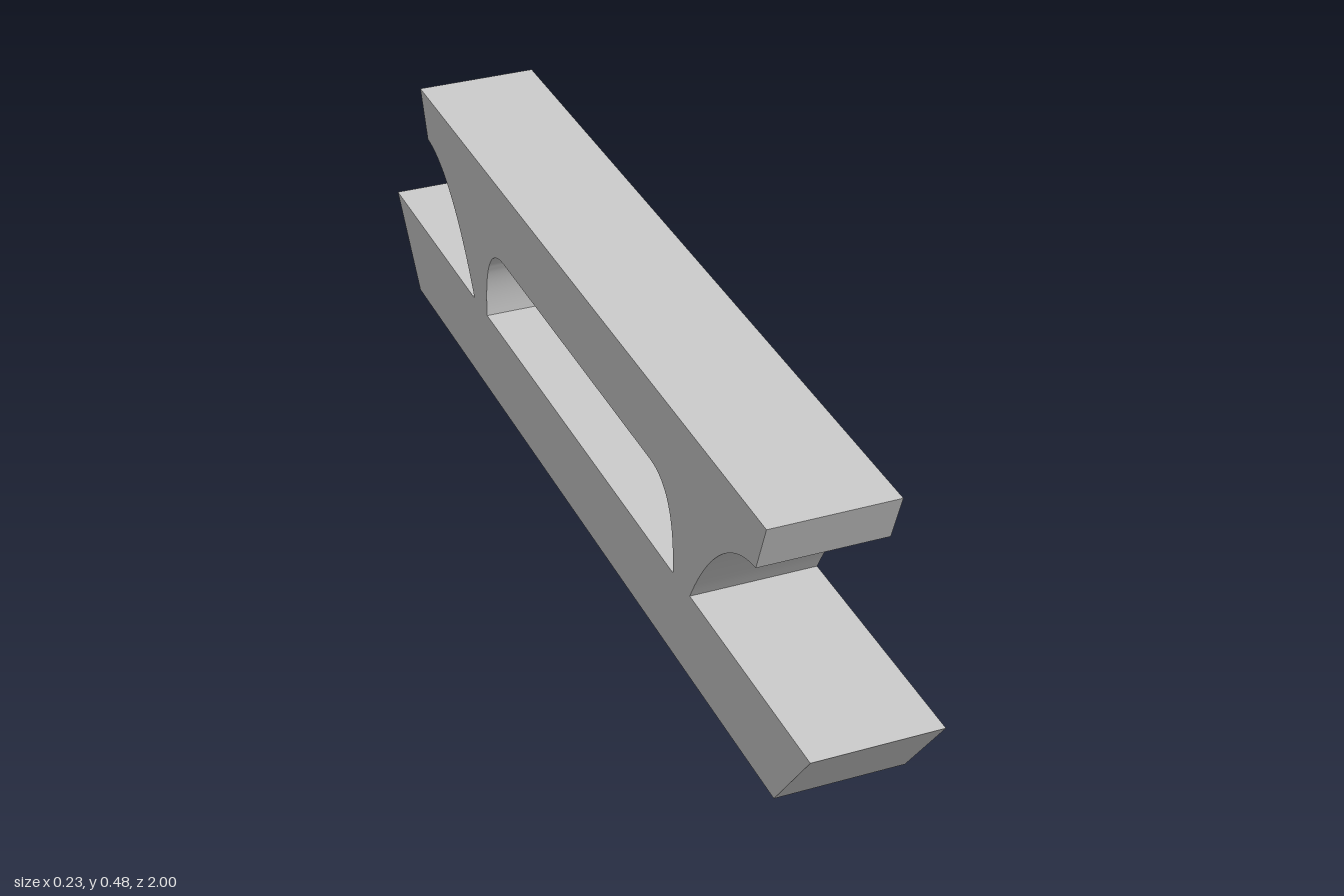
import * as THREE from 'three';
import { toCreasedNormals } from 'three/addons/utils/BufferGeometryUtils.js';

const WIDTH = 0.23;
const DECK = 0.163; // top of the base bar

export function createModel() {
  const group = new THREE.Group();
  group.name = 'slottedRail';

  // side profile: x of the shape runs along z of the model
  const profile = new THREE.Shape();
  profile.moveTo(-0.875, 0);
  profile.lineTo(0.875, 0);
  profile.lineTo(1, DECK);
  profile.lineTo(0.53, DECK);
  profile.bezierCurveTo(0.61, 0.31, 0.7, 0.378, 0.785, 0.384); // flared web
  profile.lineTo(0.82, 0.477);
  profile.lineTo(-0.82, 0.477);
  profile.lineTo(-0.785, 0.384);
  profile.bezierCurveTo(-0.7, 0.378, -0.61, 0.31, -0.53, DECK);
  profile.lineTo(-1, DECK);
  profile.closePath();

  // window with rounded upper corners
  const slot = new THREE.Path();
  slot.moveTo(-0.458, DECK);
  slot.bezierCurveTo(-0.462, 0.27, -0.43, 0.327, -0.355, 0.327);
  slot.lineTo(0.355, 0.327);
  slot.bezierCurveTo(0.43, 0.327, 0.462, 0.27, 0.458, DECK);
  slot.closePath();
  profile.holes.push(slot);

  const solid = new THREE.ExtrudeGeometry(profile, {
    depth: WIDTH, bevelEnabled: false, curveSegments: 24,
  });
  solid.translate(0, 0, -WIDTH / 2);
  solid.rotateY(-Math.PI / 2);

  const body = new THREE.Mesh(
    toCreasedNormals(solid, 0.4),
    new THREE.MeshStandardMaterial({ color: 0xcccccc }),
  );
  body.name = 'railBody';
  group.add(body);
  return group;
}
